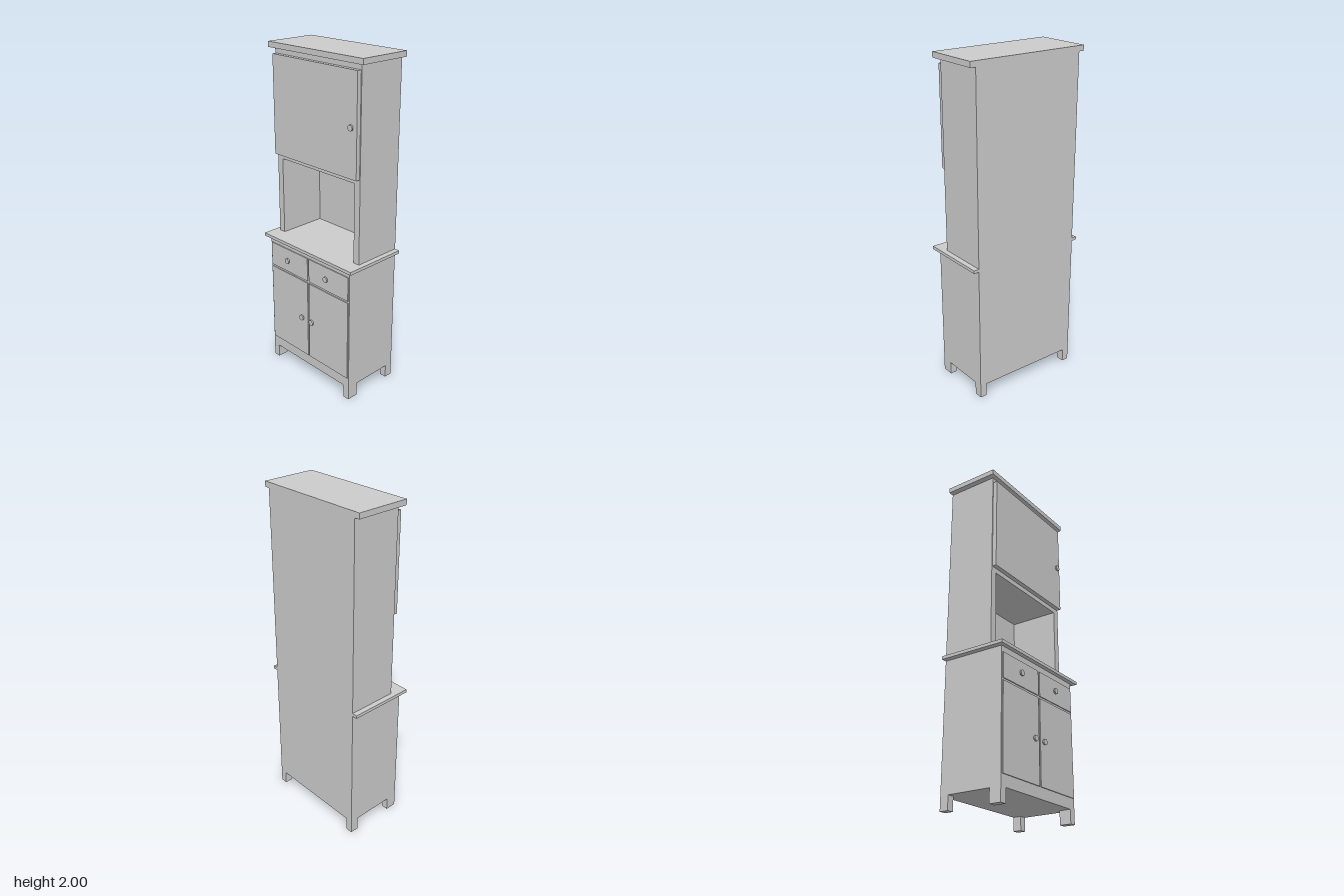
import * as THREE from 'three';

// The cupboard stands slightly turned and skewed: basis of its own axes on the floor
const SKEW = new THREE.Matrix4().makeBasis(
  new THREE.Vector3(0.994, 0, -0.11),
  new THREE.Vector3(0, 1, 0),
  new THREE.Vector3(0.14, 0, 0.99)
);
const BACK = -0.203;

export function createModel() {
  const model = new THREE.Group();
  model.name = 'cupboard';
  const material = new THREE.MeshStandardMaterial({ color: 0xcccccc });

  function add(name, geometry, parent = model) {
    geometry.applyMatrix4(SKEW);
    const mesh = new THREE.Mesh(geometry, material);
    mesh.name = name;
    parent.add(mesh);
  }

  // Box given by its limits along each of the cupboard's own axes
  function box(name, x0, x1, y0, y1, z0, z1) {
    const g = new THREE.BoxGeometry(x1 - x0, y1 - y0, z1 - z0);
    g.translate((x0 + x1) / 2, (y0 + y1) / 2, (z0 + z1) / 2);
    add(name, g);
  }

  // Round knob: thin stem with a wider head
  function knob(name, x, y, z) {
    const group = new THREE.Group();
    group.name = name;
    const parts = [['stem', 0.009, 0.008, 0.002], ['head', 0.017, 0.009, 0.0105]];
    for (const [part, radius, length, offset] of parts) {
      const g = new THREE.CylinderGeometry(radius, radius, length, 20);
      g.rotateX(Math.PI / 2);
      g.translate(x, y, z + offset);
      add(part, g, group);
    }
    model.add(group);
  }

  // Lower cabinet, worktop and legs
  box('lowerBody', -0.341, 0.341, 0.08, 0.838, BACK, 0.177);
  box('worktop', -0.373, 0.373, 0.838, 0.857, BACK, 0.203);
  for (const [side, s] of [['left', 1], ['right', -1]]) {
    const x0 = Math.min(s * 0.299, s * 0.341);
    const x1 = x0 + 0.042;
    box(side + 'FrontLeg', x0, x1, 0, 0.08, 0.108, 0.177);
    box(side + 'BackLeg', x0, x1, 0, 0.08, BACK, -0.152);

    // Drawer fronts and doors stand slightly proud of the body
    const f0 = Math.min(s * 0.006, s * 0.333);
    const f1 = f0 + 0.327;
    box(side + 'DrawerFront', f0, f1, 0.655, 0.802, 0.177, 0.183);
    box(side + 'Door', f0, f1, 0.145, 0.642, 0.177, 0.183);
    knob(side + 'DrawerKnob', s * 0.167 - 0.009, 0.73, 0.183);
    knob(side + 'DoorKnob', s * 0.043 - 0.009, 0.395, 0.183);

    // Side walls of the open niche
    box(side + 'NicheWall', x0, x1, 0.857, 1.325, BACK, 0.105);
  }

  // Upper cabinet above the niche, with one wide door
  box('nicheBack', -0.299, 0.299, 0.857, 1.325, BACK, -0.195);
  box('upperBody', -0.341, 0.341, 1.325, 1.968, BACK, 0.105);
  box('upperDoor', -0.336, 0.336, 1.354, 1.936, 0.105, 0.131);
  knob('upperDoorKnob', 0.298, 1.637, 0.131);
  box('cornice', -0.373, 0.373, 1.968, 2, BACK, 0.13);

  return model;
}
